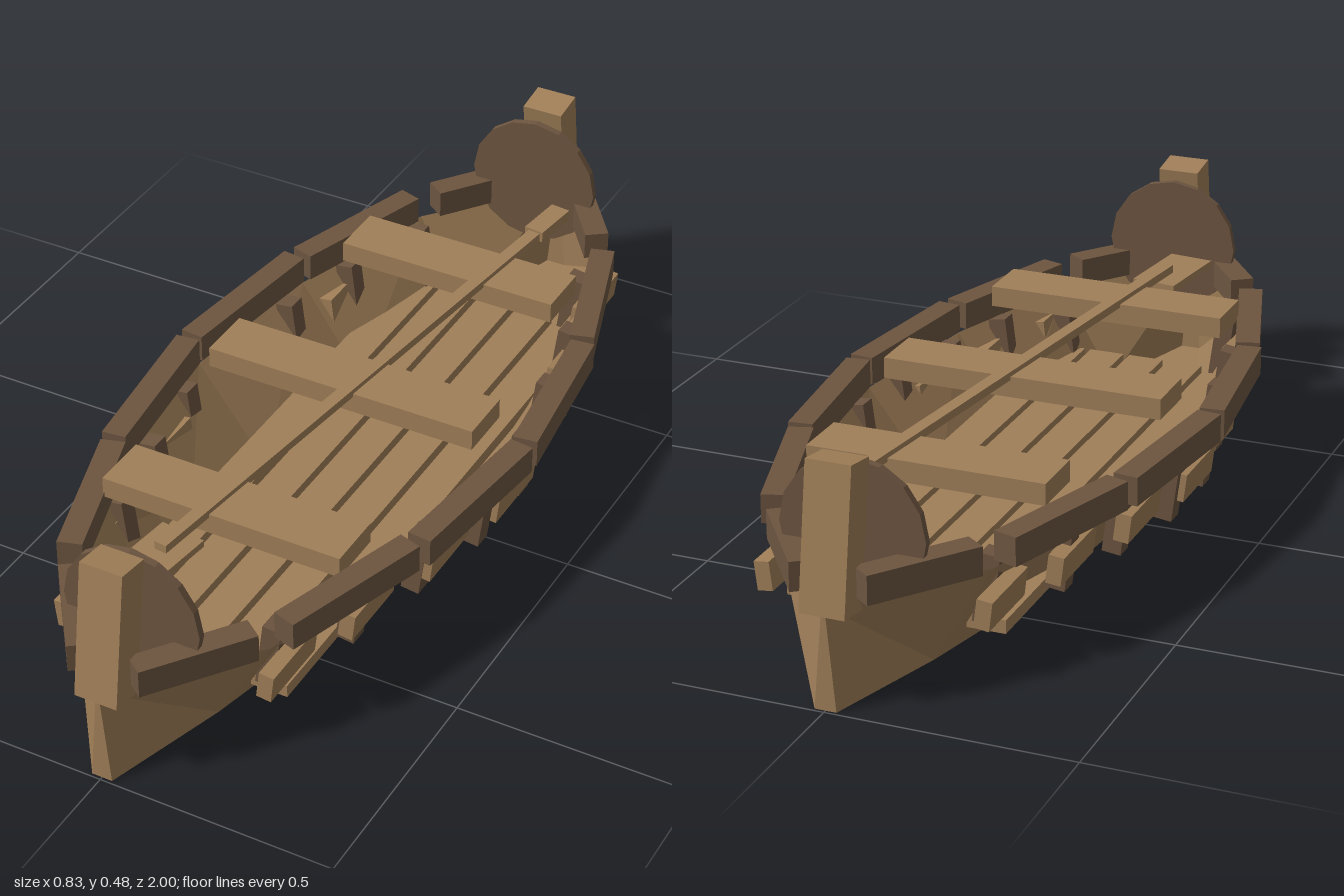
import * as THREE from 'three';

export function createModel() {
  const boat = new THREE.Group();
  boat.name = 'rowingBoat';
  const mat = (name, color) => {
    const m = new THREE.MeshStandardMaterial();
    m.name = name;
    m.color.setHex(color);
    return m;
  };
  const lightWood = mat('lightWood', 0xa07f58);
  const darkWood = mat('darkWood', 0x6d5540);
  const hullWood = lightWood.clone();
  hullWood.name = 'hullWood';
  hullWood.side = THREE.DoubleSide;

  const add = (name, geometry, material, [x, y, z], [rx, ry, rz] = [0, 0, 0]) => {
    const mesh = new THREE.Mesh(geometry, material);
    mesh.name = name;
    mesh.position.set(x, y, z);
    mesh.rotation.set(rx, ry, rz);
    boat.add(mesh);
    return mesh;
  };
  const box = (name, [w, h, d], material, position, rotation) =>
    add(name, new THREE.BoxGeometry(w, h, d), material, position, rotation);

  // Open hull shell: flat bottom and flared sides, [z, bottom half width, top half width]
  const half = [[0.37, 0.18, 0.325], [0.73, 0.1, 0.22], [0.993, 0.022, 0.003]];
  const stations = [
    ...half.map(([z, b, t]) => [-z, b, t]).reverse(), [0, 0.21, 0.37], ...half,
  ].map(([z, b, t]) => [[-t, 0.21, z], [-b, 0, z], [b, 0, z], [t, 0.21, z]]);
  const verts = [];
  const quad = (a, b, c, d) => verts.push(...a, ...b, ...c, ...a, ...c, ...d);
  for (let i = 0; i < stations.length - 1; i++) {
    const p = stations[i], q = stations[i + 1];
    for (let j = 0; j < 3; j++) quad(p[j], p[j + 1], q[j + 1], q[j]);
  }
  const first = stations[0], last = stations[stations.length - 1];
  quad(last[0], last[1], last[2], last[3]);
  quad(first[3], first[2], first[1], first[0]);
  const hull = new THREE.BufferGeometry();
  hull.setAttribute('position', new THREE.Float32BufferAttribute(verts, 3));
  hull.computeVertexNormals();
  add('hull', hull, hullWood, [0, 0, 0]);

  // Floor planks
  for (let i = -2; i <= 2; i++) {
    box('floorPlank', [0.08, 0.028, 1.37], lightWood, [i * 0.094, 0.071, 0]);
  }

  // Gunwale in straight segments, [x, z] to [x, z]
  const rails = [
    [[0.39, 0.008], [0.347, 0.372]],
    [[0.337, 0.39], [0.237, 0.71]],
    [[0.2, 0.76], [0.057, 0.955]],
  ];
  for (const sx of [1, -1]) for (const sz of [1, -1]) {
    for (const [[x0, z0], [x1, z1]] of rails) {
      const dx = (x1 - x0) * sx, dz = (z1 - z0) * sz;
      box('gunwale', [0.052, 0.06, Math.hypot(dx, dz)], darkWood,
        [sx * (x0 + x1) / 2, 0.245, sz * (z0 + z1) / 2], [0, Math.atan2(dx, dz), 0]);
    }
    // Ribs leaning outward
    [[0.34, 0.095], [0.303, 0.285], [0.262, 0.48], [0.19, 0.67]].forEach(([x, z]) =>
      box('rib', [0.04, 0.145, 0.042], darkWood, [sx * x, 0.145, sz * z], [0, 0, -sx * 0.13]));
  }

  // Short side boards between the ribs
  const boardX = [0.357, 0.325, 0.275, 0.225];
  for (const sx of [1, -1]) for (let i = -3; i <= 3; i++) {
    box('sideBoard', [0.032, 0.06, 0.172], lightWood,
      [sx * boardX[Math.abs(i)], 0.141, i * 0.23 - 0.012], [0, 0, -sx * 0.12]);
  }

  // Thwarts
  [[-0.48, 0.25], [0, 0.305], [0.48, 0.265]].forEach(([z, w]) =>
    box('thwart', [w * 2, 0.045, 0.125], lightWood, [0, 0.287, z]));

  // Raked stem posts and round shields at both ends
  for (const s of [1, -1]) {
    box('stemPost', [0.092, 0.29, 0.075], lightWood, [0, 0.33, s * 0.941], [-s * 0.149, 0, 0]);
    add('roundShield', new THREE.CylinderGeometry(0.148, 0.148, 0.016, 16).toNonIndexed(),
      darkWood, [0, 0.304, s * 0.857], [Math.PI / 2, 0, 0]).geometry.computeVertexNormals();
  }

  // Oar lying across the thwarts
  const yaw = -0.117;
  box('oarShaft', [0.028, 0.018, 1.37], lightWood, [0.028, 0.311, -0.005], [0, yaw, 0]);
  box('oarBlade', [0.1, 0.015, 0.19], lightWood, [-0.057, 0.293, 0.695], [0, yaw, 0]);
  box('oarGrip', [0.045, 0.024, 0.11], lightWood, [0.108, 0.313, -0.695], [0, yaw, 0]);

  return boat;
}
